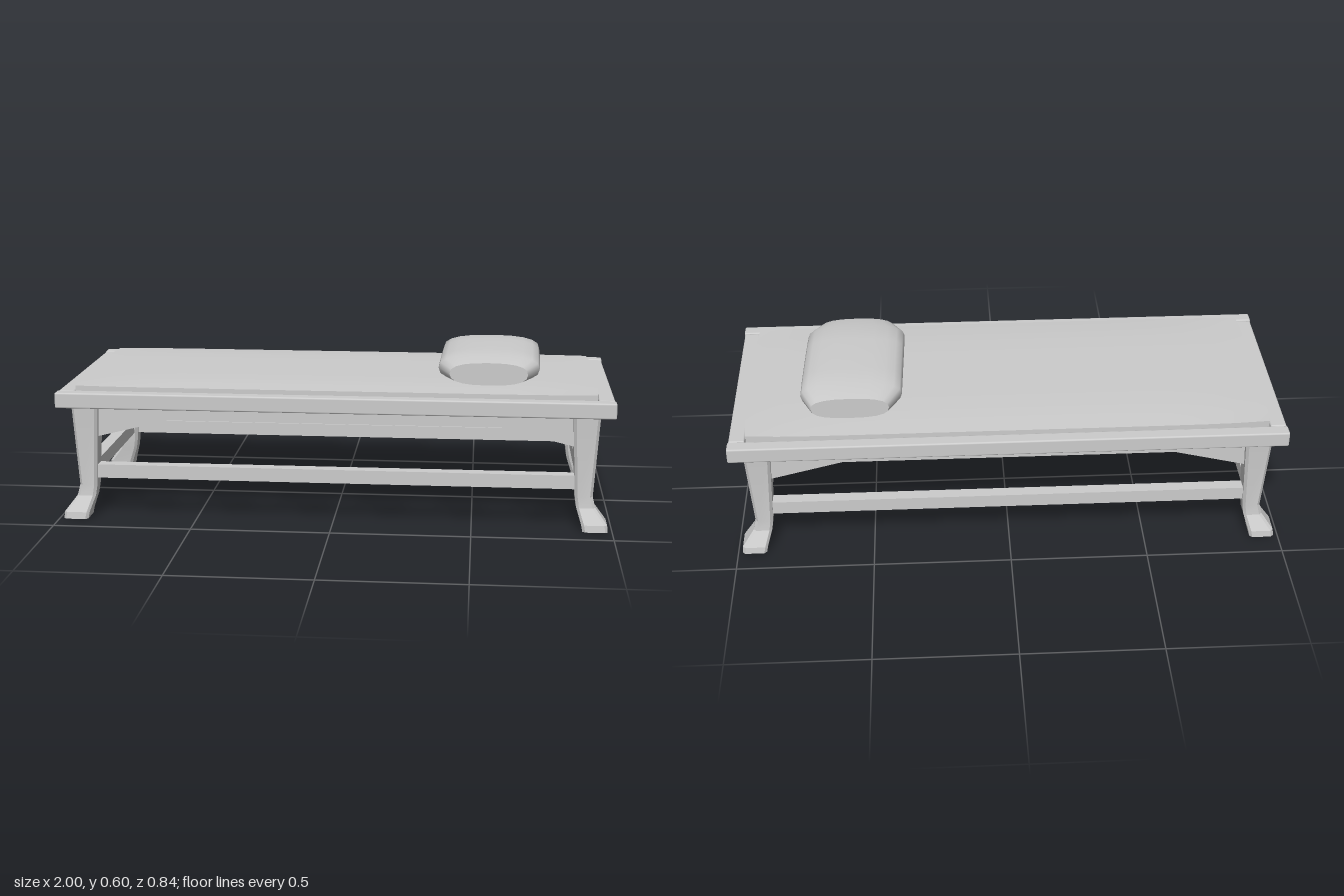
import * as THREE from 'three';
import { toCreasedNormals } from 'three/addons/utils/BufferGeometryUtils.js';
import { RoundedBoxGeometry } from 'three/addons/geometries/RoundedBoxGeometry.js';

const grey = new THREE.MeshStandardMaterial({ color: 0xcccccc });
grey.name = 'plain grey';

// Skin a list of equal-length rings and close both ends.
function loft(rings, crease) {
  const n = rings[0].length, pos = [], idx = [];
  rings.forEach(r => r.forEach(p => pos.push(...p)));
  for (let j = 0; j < rings.length - 1; j++) {
    for (let i = 0; i < n; i++) {
      const a = j * n + i, b = j * n + (i + 1) % n;
      idx.push(a, b, b + n, a, b + n, a + n);
    }
  }
  const top = (rings.length - 1) * n;
  for (let i = 1; i < n - 1; i++) {
    idx.push(0, i + 1, i);
    idx.push(top, top + i, top + i + 1);
  }
  const g = new THREE.BufferGeometry();
  g.setAttribute('position', new THREE.Float32BufferAttribute(pos, 3));
  g.setIndex(idx);
  return toCreasedNormals(g, crease);
}

// Horizontal rectangle with clipped corners, anticlockwise from above.
function clippedRect(y, x0, x1, z0, z1, c) {
  return [
    [x1, y, z1 - c], [x1, y, z0 + c], [x1 - c, y, z0], [x0 + c, y, z0],
    [x0, y, z0 + c], [x0, y, z1 - c], [x0 + c, y, z1], [x1 - c, y, z1],
  ];
}

export function createModel() {
  const model = new THREE.Group();
  model.name = 'daybed';
  const add = (name, geometry, x = 0, y = 0, z = 0) => {
    const mesh = new THREE.Mesh(geometry, grey);
    mesh.name = name;
    mesh.position.set(x, y, z);
    model.add(mesh);
    return mesh;
  };

  // Legs: tapering post, flaring outward into the foot: y, inner x, outer x, inner z, outer z
  const legProfile = [
    [0, 0.895, 0.985, 0.317, 0.415],
    [0.025, 0.89, 0.982, 0.316, 0.412],
    [0.08, 0.872, 0.94, 0.31, 0.382],
    [0.12, 0.866, 0.93, 0.306, 0.378],
    [0.42, 0.852, 0.948, 0.294, 0.393],
  ];
  for (const sx of [-1, 1]) for (const sz of [-1, 1]) {
    const rings = legProfile.map(([y, xi, xo, zi, zo]) => clippedRect(y,
      Math.min(sx * xi, sx * xo), Math.max(sx * xi, sx * xo),
      Math.min(sz * zi, sz * zo), Math.max(sz * zi, sz * zo), 0.01));
    add((sz > 0 ? 'front' : 'back') + (sx > 0 ? 'Left' : 'Right') + 'Leg', loft(rings, 0.3));
  }

  // Apron board with sloping brackets at both ends
  const apron = (half, flat, low, mid) => {
    const s = new THREE.Shape([
      [-half, 0.43], [-half, low], [-flat, mid], [flat, mid], [half, low], [half, 0.43],
    ].map(p => new THREE.Vector2(...p)));
    return new THREE.ExtrudeGeometry(s, { depth: 0.035, bevelEnabled: false }).translate(0, 0, -0.0175);
  };

  for (const s of [-1, 1]) {
    const side = s > 0 ? 'front' : 'back', end = s > 0 ? 'left' : 'right';
    // Top frame
    add(side + 'Rail', new RoundedBoxGeometry(2, 0.057, 0.05, 2, 0.006), 0, 0.443, s * 0.394);
    add(end + 'EndRail', new RoundedBoxGeometry(0.058, 0.054, 0.732, 2, 0.006), s * 0.968, 0.443, 0);
    // Aprons
    add(side + 'Apron', apron(0.87, 0.6, 0.298, 0.365), 0, 0, s * 0.345);
    add(end + 'Apron', apron(0.31, 0.235, 0.305, 0.36), s * 0.9, 0, 0).rotation.y = Math.PI / 2;
    // Stretchers
    add(side + 'Stretcher', new THREE.BoxGeometry(1.77, 0.05, 0.045), 0, 0.17, s * 0.343);
    add(end + 'Stretcher', new THREE.BoxGeometry(0.045, 0.05, 0.65), s * 0.9, 0.17, 0);
  }

  // Mattress: shallow slab, slightly crowned, with eased corners
  const slab = new THREE.BoxGeometry(1.89, 0.07, 0.74, 16, 1, 10);
  const p = slab.attributes.position;
  for (let i = 0; i < p.count; i++) {
    const u = p.getX(i) / 0.945, v = p.getZ(i) / 0.37;
    if (p.getY(i) > 0) p.setY(i, 0.035 + 0.01 * (1 - u ** 6) * (1 - v ** 4));
    p.setX(i, p.getX(i) * (1 - 0.01 * v ** 6));
    p.setZ(i, p.getZ(i) * (1 - 0.03 * u ** 8));
  }
  add('mattress', toCreasedNormals(slab, 0.5), 0, 0.452, 0);

  // Pillow: rounded cross-sections along z: z, centre x, half width, bottom, top
  const sections = [
    [-0.278, 0.566, 0.14, 0.498, 0.58],
    [-0.2, 0.563, 0.183, 0.495, 0.595],
    [-0.1, 0.561, 0.184, 0.494, 0.599],
    [0.1, 0.556, 0.184, 0.494, 0.599],
    [0.2, 0.553, 0.183, 0.495, 0.595],
    [0.278, 0.552, 0.14, 0.498, 0.58],
  ];
  const soft = t => Math.sign(t) * Math.abs(t) ** 0.78;
  const pillowRings = sections.map(([z, cx, w, y0, y1]) =>
    Array.from({ length: 20 }, (_, i) => {
      const a = i / 20 * Math.PI * 2;
      return [cx + w * soft(Math.cos(a)), (y0 + y1) / 2 + (y1 - y0) / 2 * soft(Math.sin(a)), z];
    }));
  add('pillow', loft(pillowRings, 0.9));

  return model;
}
